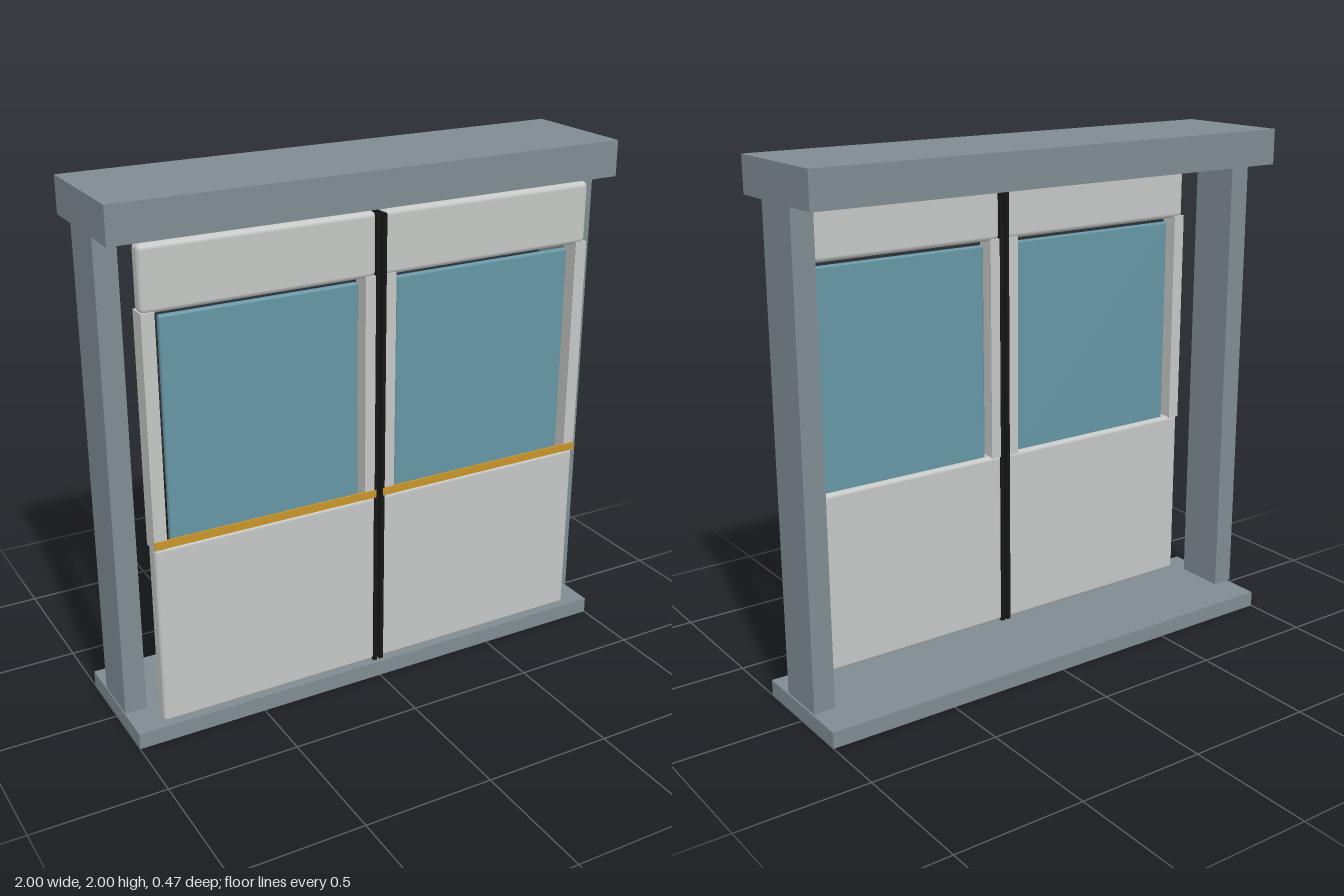
import * as THREE from 'three';
import { RoundedBoxGeometry } from 'three/addons/geometries/RoundedBoxGeometry.js';

const material = (name, color) => {
  const m = new THREE.MeshStandardMaterial({ color });
  m.name = name;
  return m;
};

export function createModel() {
  const frameGrey = material('frameGrey', 0x7f8c92);
  const panelGrey = material('panelGrey', 0xc4c7c5);
  const glassBlue = material('glassBlue', 0x6496a4);
  const stripeGold = material('stripeGold', 0xc8942a);
  const sealBlack = material('sealBlack', 0x161616);

  const root = new THREE.Group();
  root.name = 'slidingDoorway';

  // Adds a box given by its extents; a radius rounds its edges
  function block(parent, name, mat, [x0, x1], [y0, y1], [z0, z1], radius = 0) {
    const size = [x1 - x0, y1 - y0, z1 - z0];
    const geometry = radius
      ? new RoundedBoxGeometry(...size, 3, radius)
      : new THREE.BoxGeometry(...size);
    const mesh = new THREE.Mesh(geometry, mat);
    mesh.name = name;
    mesh.position.set((x0 + x1) / 2, (y0 + y1) / 2, (z0 + z1) / 2);
    parent.add(mesh);
  }

  // Fixed surround
  block(root, 'header', frameGrey, [-1, 1], [1.865, 2], [-0.237, 0.237]);
  block(root, 'threshold', frameGrey, [-1, 1], [0, 0.062], [-0.237, 0.237]);

  for (const side of [1, -1]) {
    const label = side > 0 ? 'left' : 'right';
    // Extents are measured outward from the centre line, then mirrored
    const span = (a, b) => (side > 0 ? [a, b] : [-b, -a]);

    block(root, label + 'Post', frameGrey, span(0.917, 1), [0.07, 1.865], [-0.1, 0.1]);

    // Door leaf: solid lower panel, two stiles and a top rail
    const leaf = new THREE.Group();
    leaf.name = label + 'DoorLeaf';
    root.add(leaf);
    block(leaf, 'lowerPanel', panelGrey, span(0.016, 0.893), [0.067, 0.77], [0.152, 0.219], 0.015);
    block(leaf, 'topRail', panelGrey, span(0.016, 0.893), [1.617, 1.853], [0.154, 0.217], 0.02);
    block(leaf, 'innerStile', panelGrey, span(0.016, 0.062), [0.765, 1.625], [0.15, 0.22]);
    block(leaf, 'outerStile', panelGrey, span(0.847, 0.895), [0.765, 1.625], [0.15, 0.22]);

    // Window pane sits between the stiles with a narrow gap
    block(leaf, 'windowPane', glassBlue, span(0.078, 0.825), [0.765, 1.602], [0.173, 0.197], 0.008);

    // Trim line and meeting-edge seal
    block(leaf, 'trimStripe', stripeGold, span(0.014, 0.895), [0.77, 0.8], [0.216, 0.2235]);
    block(leaf, 'edgeSeal', sealBlack, span(0.005, 0.021), [0.064, 1.843], [0.149, 0.222]);
  }
  return root;
}
